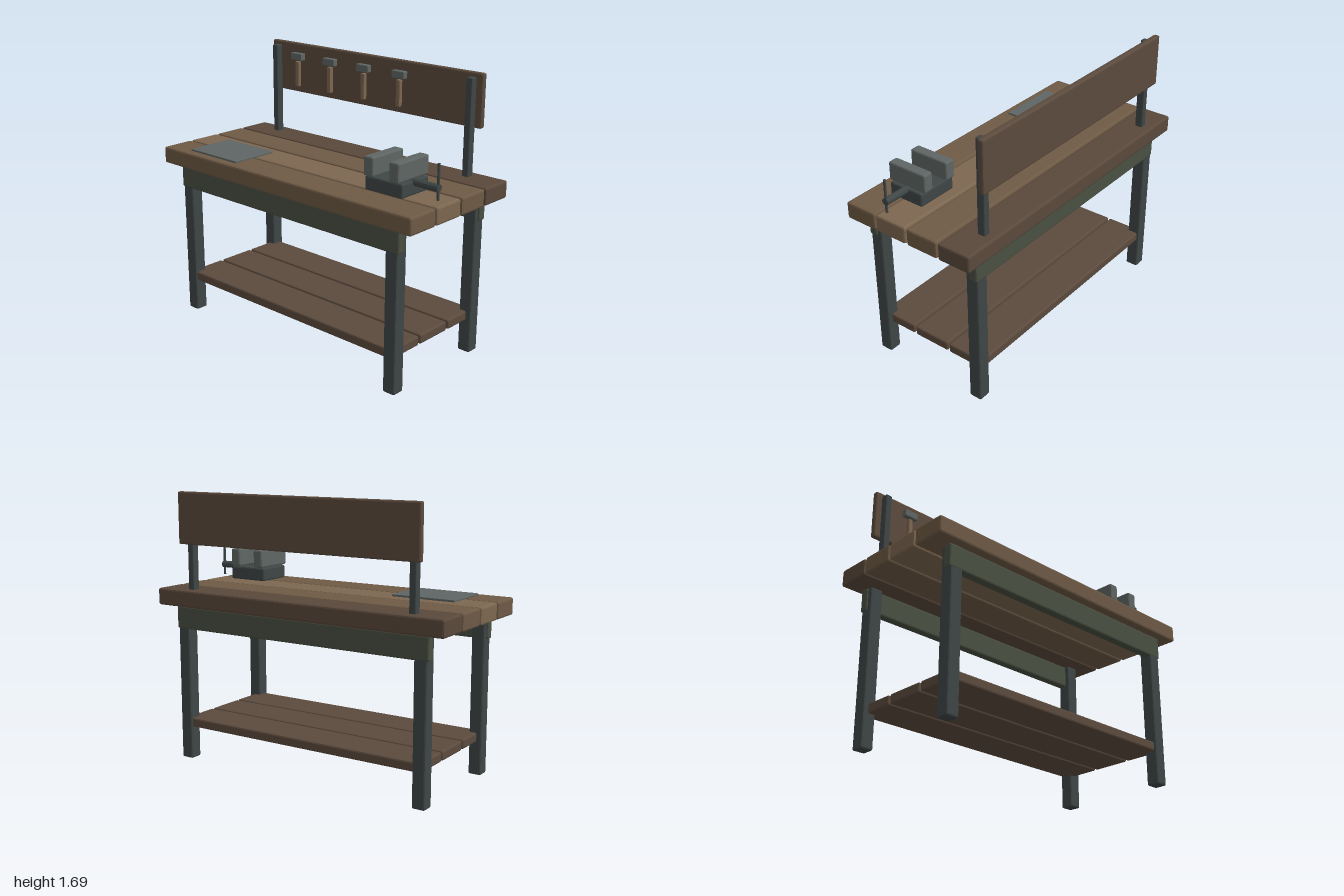
import * as THREE from 'three';
import { RoundedBoxGeometry } from 'three/addons/geometries/RoundedBoxGeometry.js';

const mat = (color) => new THREE.MeshStandardMaterial({ color, flatShading: true });
const M = {
  woodDark: mat(0x5a493b), wood: mat(0x6e5a45), woodLight: mat(0x7d6750),
  board: mat(0x5c4b3e), steel: mat(0x3f4646), steelLight: mat(0x5f6664), green: mat(0x4a5042),
};

// Chamfered box given by its extents on each axis
function block(parent, name, material, [x0, x1], [y0, y1], [z0, z1], bevel = 0.01) {
  const mesh = new THREE.Mesh(new RoundedBoxGeometry(x1 - x0, y1 - y0, z1 - z0, 1, bevel), material);
  mesh.position.set((x0 + x1) / 2, (y0 + y1) / 2, (z0 + z1) / 2);
  mesh.name = name;
  parent.add(mesh);
  return mesh;
}

const around = (c, half) => [c - half, c + half];

function rod(parent, name, material, radius, length, x, y, z) {
  const mesh = new THREE.Mesh(new THREE.CylinderGeometry(radius, radius, length, 12), material);
  mesh.position.set(x, y, z);
  mesh.name = name;
  parent.add(mesh);
  return mesh;
}

function group(parent, name) {
  const g = new THREE.Group();
  g.name = name;
  parent.add(g);
  return g;
}

export function createModel() {
  const model = new THREE.Group();
  model.name = 'workbench';

  // Table top: four planks, back to front
  const top = group(model, 'tableTop');
  [M.woodDark, M.wood, M.woodLight, M.wood].forEach((m, i) =>
    block(top, 'topPlank', m, [-1, 1], [0.985, 1.09], around(-0.336 + i * 0.224, 0.1065), 0.012));

  // Legs and long aprons
  const frame = group(model, 'frame');
  for (const sz of [-1, 1]) {
    for (const sx of [-1, 1])
      block(frame, 'leg', M.steel, around(sx * 0.837, 0.041), [0, 0.985], around(sz * 0.355, 0.041));
    block(frame, 'apron', M.green, around(0, 0.888), [0.84, 0.983], around(sz * 0.369, 0.028));
  }

  // Lower shelf: three planks
  const shelf = group(model, 'shelf');
  for (const i of [-1, 0, 1])
    block(shelf, 'shelfPlank', M.board, around(0, 0.845), [0.207, 0.266], around(i * 0.26, 0.123));

  // Tool board on two posts
  const rack = group(model, 'toolRack');
  for (const sx of [-1, 1])
    block(rack, 'post', M.steel, around(sx * 0.777, 0.021), [1.08, 1.668], [-0.385, -0.335], 0.006);
  block(rack, 'toolBoard', M.board, around(0, 0.84), [1.372, 1.692], [-0.419, -0.381], 0.01);

  // Hammers hanging on the board
  for (let i = 0; i < 4; i++) {
    const x = -0.59 + i * 0.282;
    const hammer = group(rack, 'hammer');
    block(hammer, 'hammerHead', M.steelLight, around(x, 0.048), [1.588, 1.634], [-0.38, -0.342], 0.005);
    block(hammer, 'hammerHandle', M.woodLight, around(x, 0.015), [1.414, 1.579], [-0.376, -0.348], 0.005);
  }

  // Flat metal sheet on the top
  block(model, 'metalSheet', M.steelLight, [-0.795, -0.385], [1.09, 1.103], [0.076, 0.39], 0.003);

  // Vise
  const vise = group(model, 'vise');
  const z = 0.166;
  block(vise, 'viseBase', M.steel, [0.548, 0.81], [1.107, 1.19], around(z, 0.116), 0.01);
  for (const x of [0.585, 0.763])
    block(vise, 'viseJaw', M.steelLight, around(x, 0.033), [1.193, 1.306], around(z, 0.133), 0.01);
  rod(vise, 'viseScrew', M.steel, 0.022, 0.275, 0.832, 1.179, z).rotation.z = Math.PI / 2;
  rod(vise, 'viseHandle', M.steel, 0.008, 0.205, 0.962, 1.213, z);

  return model;
}
